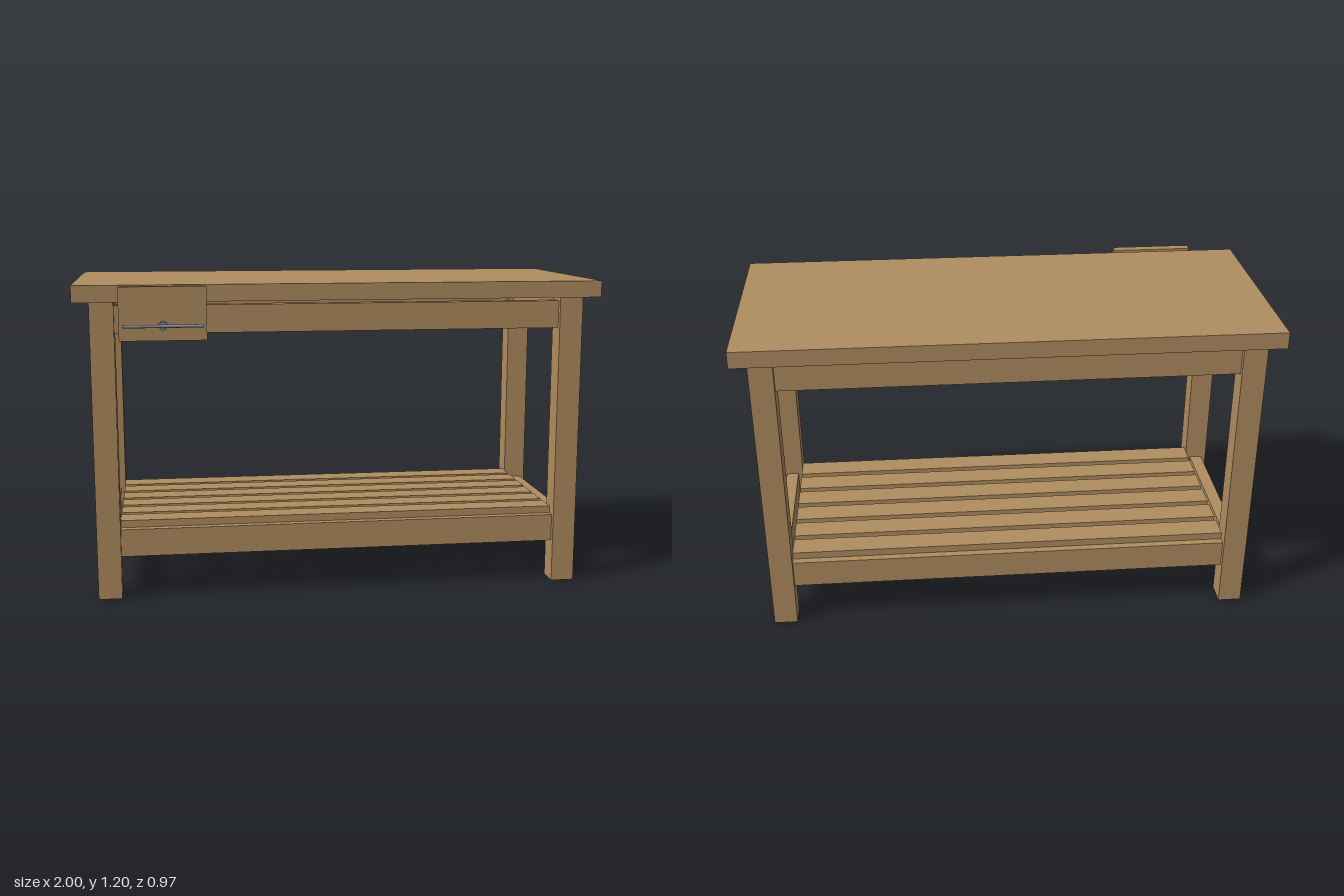
import * as THREE from 'three';

export function createModel() {
  const bench = new THREE.Group();
  bench.name = 'workbench';
  const wood = new THREE.MeshStandardMaterial({ color: 0xb08d60 });
  wood.name = 'wood';
  const steel = new THREE.MeshStandardMaterial({ color: 0x878b90 });
  steel.name = 'steel';

  // Box given by its extents on each axis
  const box = (name, material, [x0, x1], [y0, y1], [z0, z1], parent = bench) => {
    const mesh = new THREE.Mesh(new THREE.BoxGeometry(x1 - x0, y1 - y0, z1 - z0), material);
    mesh.position.set((x0 + x1) / 2, (y0 + y1) / 2, (z0 + z1) / 2);
    mesh.name = name;
    parent.add(mesh);
  };

  box('top', wood, [-1, 1], [1.137, 1.2], [-0.485, 0.38]);

  // Legs
  const legX = 0.895, legZ = { front: 0.301, back: -0.406 }, half = 0.045;
  for (const [end, z] of Object.entries(legZ)) {
    for (const [side, s] of [['Left', 1], ['Right', -1]]) {
      box(end + side + 'Leg', wood, [s * legX - half, s * legX + half], [0, 1.137], [z - half, z + half]);
    }
  }

  // Upper aprons and lower rails, set back from the leg faces
  const t = 0.025;
  for (const [kind, ys] of [['Apron', [1.016, 1.121]], ['Rail', [0.161, 0.267]]]) {
    for (const [end, z] of Object.entries(legZ)) {
      box(end + kind, wood, [-0.85, 0.85], ys, [z - t, z + t]);
    }
    for (const [side, s] of [['left', 1], ['right', -1]]) {
      box(side + kind, wood, [s * legX - t, s * legX + t], ys, [legZ.back + half, legZ.front - half]);
    }
  }

  // Slatted shelf
  for (let i = 0; i < 6; i++) {
    const z = 0.248 - i * 0.1206;
    box('shelfSlat', wood, [-0.85, 0.85], [0.267, 0.295], [z - 0.047, z + 0.047]);
  }

  // Front vise
  const vise = new THREE.Group();
  vise.name = 'vise';
  bench.add(vise);
  box('viseBody', steel, [-0.78, -0.56], [1.0165, 1.137], [0.222, 0.379], vise);
  box('viseJaw', wood, [-0.83, -0.512], [1.002, 1.198], [0.409, 0.447], vise);

  const rod = (name, radius, length, z) => {
    const mesh = new THREE.Mesh(new THREE.CylinderGeometry(radius, radius, length, 12), steel);
    mesh.position.set(-0.67, 1.058, z);
    mesh.name = name;
    vise.add(mesh);
    return mesh;
  };
  rod('viseScrew', 0.016, 0.097, 0.4265).rotation.x = Math.PI / 2;
  rod('viseHandle', 0.006, 0.29, 0.48).rotation.z = Math.PI / 2;

  return bench;
}
